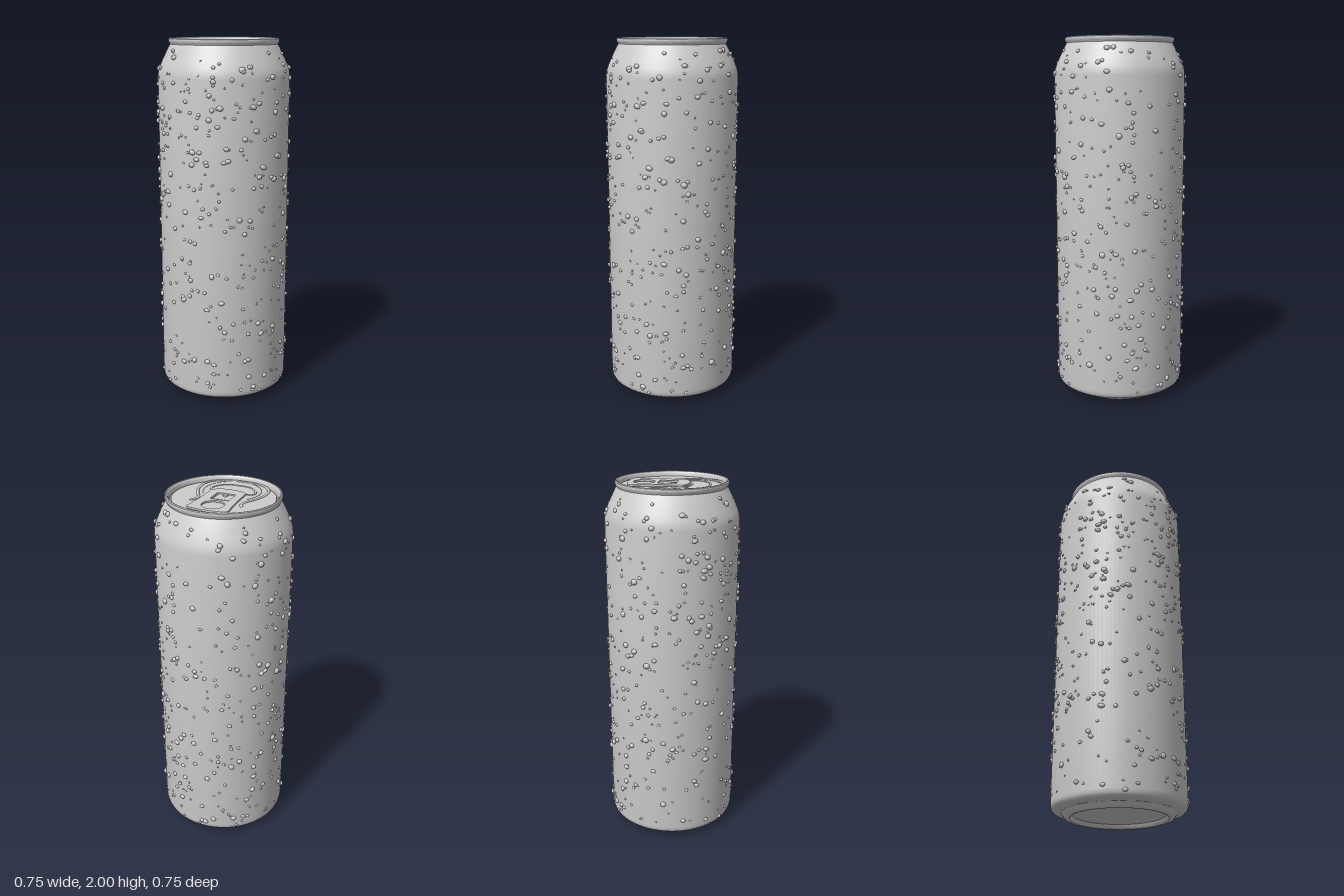
import * as THREE from 'three';
import { mergeGeometries, toCreasedNormals } from 'three/addons/utils/BufferGeometryUtils.js';

const LID = 1.975;
const material = new THREE.MeshStandardMaterial({ color: 0xcccccc, roughness: 0.5 });

function addMesh(group, name, geometry) {
  const mesh = new THREE.Mesh(geometry, material);
  mesh.name = name;
  group.add(mesh);
  return mesh;
}

const lathe = (pts) => toCreasedNormals(
  new THREE.LatheGeometry(pts.map(([r, y]) => new THREE.Vector2(r, y)), 96), 0.5);

// Raised bead that follows [x, z] points on the lid
function bead(points, radius, closed, segments) {
  const curve = new THREE.CatmullRomCurve3(points.map(([x, z]) => new THREE.Vector3(x, 0, z)), closed);
  const g = new THREE.TubeGeometry(curve, segments, radius, 8, closed);
  return g.scale(1, 0.6, 1).translate(0, LID, 0);
}

// Flat plate lying on the lid, drawn in x and z, with its top at the given height
function plate(shape, depth, top, bevel) {
  const g = new THREE.ExtrudeGeometry(shape, {
    depth, curveSegments: 20, bevelEnabled: bevel > 0,
    bevelSize: bevel, bevelThickness: bevel, bevelOffset: -bevel, bevelSegments: 2,
  });
  return g.rotateX(Math.PI / 2).translate(0, top - bevel, 0);
}

function roundedRect(path, x0, z0, x1, z1, r) {
  path.moveTo(x0 + r, z0);
  path.lineTo(x1 - r, z0).quadraticCurveTo(x1, z0, x1, z0 + r);
  path.lineTo(x1, z1 - r).quadraticCurveTo(x1, z1, x1 - r, z1);
  path.lineTo(x0 + r, z1).quadraticCurveTo(x0, z1, x0, z1 - r);
  path.lineTo(x0, z0 + r).quadraticCurveTo(x0, z0, x0 + r, z0);
  return path;
}

function tabShape() {
  const s = new THREE.Shape();
  s.moveTo(-0.085, -0.226);
  s.quadraticCurveTo(0, -0.242, 0.085, -0.226);
  s.quadraticCurveTo(0.11, -0.222, 0.11, -0.2);
  s.quadraticCurveTo(0.095, -0.09, 0.096, 0.065);
  s.quadraticCurveTo(0.07, 0.08, 0.05, 0.091);
  s.quadraticCurveTo(0, 0.1, -0.05, 0.091);
  s.quadraticCurveTo(-0.07, 0.085, -0.096, 0.07);
  s.quadraticCurveTo(-0.095, -0.09, -0.112, -0.2);
  s.quadraticCurveTo(-0.11, -0.222, -0.085, -0.226);
  s.holes.push(new THREE.Path().absarc(-0.005, -0.147, 0.058, 0, Math.PI * 2, true));
  s.holes.push(roundedRect(new THREE.Path(), -0.055, -0.07, 0.045, 0.028, 0.008));
  return s;
}

// Radius of the outer wall by height, shared by the shell and the drops
const wall = [
  [0.345, 0.038], [0.354, 0.046], [0.359, 0.058], [0.361, 0.075], [0.361, 1.8],
  [0.358, 1.825], [0.35, 1.85], [0.335, 1.885], [0.317, 1.922], [0.303, 1.95], [0.293, 1.968],
];

function wallAt(y) {
  let i = 1;
  while (i < wall.length - 1 && wall[i][1] < y) i++;
  const [r0, y0] = wall[i - 1], [r1, y1] = wall[i];
  const r = r0 + (r1 - r0) * (y - y0) / (y1 - y0);
  return { r, tilt: Math.atan2(r0 - r1, y1 - y0) };
}

// Condensation: flattened beads scattered evenly over the wall
function dropsGeometry(count) {
  let seed = 12345;
  const rand = () => (seed = (seed * 16807) % 2147483647) / 2147483647;
  const parts = [];
  const base = new THREE.SphereGeometry(1, 10, 7);
  for (let i = 0; i < count; i++) {
    const y = 0.06 + rand() * 1.88;
    const { r, tilt } = wallAt(y);
    const size = 0.005 + 0.011 * rand() ** 1.6;
    const g = base.clone();
    g.scale(size * (0.9 + 0.35 * rand()), size * (0.75 + 0.3 * rand()), size * 0.75);
    g.rotateZ((rand() - 0.5) * 0.9).rotateX(-tilt);
    g.translate(0, y, r + size * 0.15).rotateY(rand() * Math.PI * 2);
    parts.push(g);
  }
  return mergeGeometries(parts);
}

export function createModel() {
  const can = new THREE.Group();
  can.name = 'drinkCan';

  // Domed base, foot ring and outer wall
  const dome = [];
  for (let i = 0; i <= 10; i++) {
    const r = 0.245 * i / 10;
    dome.push([r, 0.075 - 0.05 * (i / 10) ** 2]);
  }
  addMesh(can, 'body', lathe([
    ...dome, [0.252, 0.01], [0.26, 0.002], [0.27, 0], [0.281, 0.003],
    [0.29, 0.011], [0.296, 0.022], [0.304, 0.029], [0.325, 0.032], ...wall,
  ]));

  // Rolled rim with the groove inside it
  addMesh(can, 'rim', lathe([
    [0.293, 1.968], [0.295, 1.974], [0.3, 1.98], [0.302, 1.988], [0.3, 1.996], [0.295, 2],
    [0.289, 1.999], [0.284, 1.994], [0.281, 1.985], [0.279, 1.966], [0.275, 1.963],
    [0.271, 1.966], [0.268, LID],
  ]));
  addMesh(can, 'lid', lathe([[0.268, LID], [0.13, LID], [0, LID]]));

  // Pressed lines on the lid
  const half = [[0.145, -0.105], [0.125, -0.075], [0.123, -0.04], [0.15, 0.01], [0.178, 0.08],
    [0.183, 0.15], [0.165, 0.205], [0.11, 0.25]];
  const mirrored = half.map(([x, z]) => [-x, z]).reverse();
  addMesh(can, 'lidBead', bead([...half, [0, 0.268], ...mirrored], 0.008, false, 120));
  addMesh(can, 'mouthBead', bead([
    [-0.127, 0.11], [-0.112, 0.084], [-0.075, 0.088], [0, 0.106], [0.065, 0.09],
    [0.1, 0.082], [0.117, 0.11], [0.105, 0.155], [0.06, 0.193], [0, 0.201],
    [-0.065, 0.193], [-0.11, 0.155],
  ], 0.006, true, 96));
  const score = [];
  for (let i = 0; i <= 24; i++) {
    const a = -0.7 + (Math.PI + 1.4) * i / 24;
    score.push([0.152 * Math.cos(a), 0.112 + 0.152 * Math.sin(a)]);
  }
  addMesh(can, 'scoreLine', bead(score, 0.0025, false, 72));

  // Pull tab with finger hole, inner flap and rivet
  addMesh(can, 'pullTab', plate(tabShape(), 0.006, LID + 0.012, 0.002));
  const flap = roundedRect(new THREE.Shape(), -0.048, -0.05, 0.038, 0.028, 0.006);
  addMesh(can, 'tabFlap', plate(flap, 0.003, LID + 0.005, 0));
  addMesh(can, 'rivet', new THREE.CylinderGeometry(0.013, 0.016, 0.008, 20))
    .position.set(-0.005, LID + 0.006, 0.01);

  addMesh(can, 'waterDrops', dropsGeometry(780));
  return can;
}
